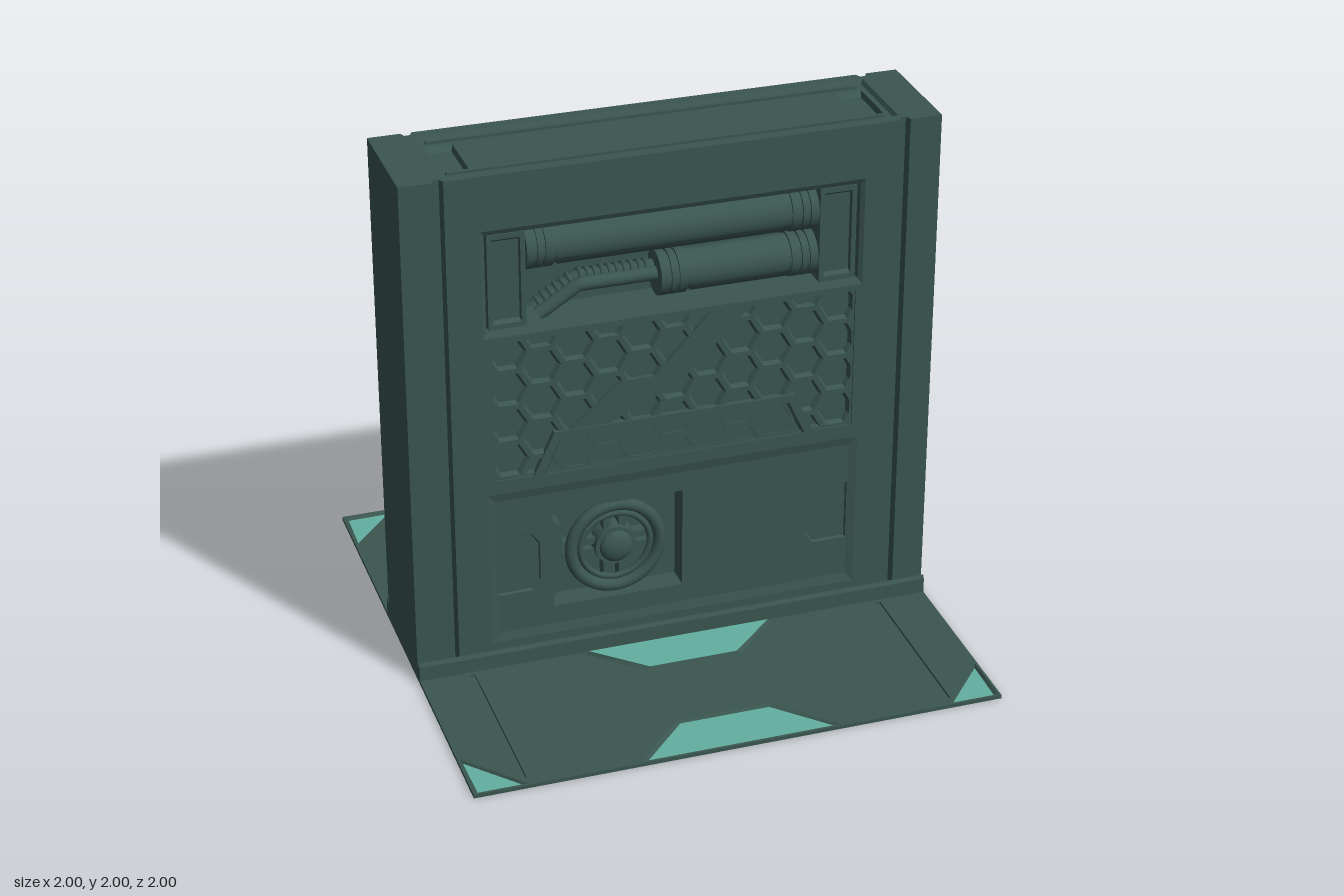
import * as THREE from 'three';

const wallMat = new THREE.MeshStandardMaterial({ color: 0x3a554f, side: THREE.DoubleSide });
wallMat.name = 'dark green metal';
const glowMat = new THREE.MeshStandardMaterial({ color: 0x62b0a0, side: THREE.DoubleSide });
glowMat.name = 'pale teal';

function add(parent, name, geo, mat = wallMat, x = 0, y = 0, z = 0) {
  const m = new THREE.Mesh(geo, mat);
  m.name = name;
  m.position.set(x, y, z);
  parent.add(m);
  return m;
}
const box = (p, name, x0, x1, y0, y1, z0, z1) =>
  add(p, name, new THREE.BoxGeometry(x1 - x0, y1 - y0, z1 - z0), wallMat, (x0 + x1) / 2, (y0 + y1) / 2, (z0 + z1) / 2);
const rect = (x0, x1, y0, y1) => [[x0, y0], [x1, y0], [x1, y1], [x0, y1]];
const at = (pts, z) => pts.map(([x, y]) => [x, y, z]);
const mirrorX = (pts) => pts.map(([x, y]) => [-x, y]).reverse();

// move every corner toward the middle of the outline by a fixed amount
function shrink(pts, d) {
  const n = pts.length, cx = pts.reduce((s, p) => s + p[0], 0) / n, cy = pts.reduce((s, p) => s + p[1], 0) / n;
  return pts.map(([x, y]) => {
    const l = Math.hypot(x - cx, y - cy) || 1;
    return [x + (cx - x) * d / l, y + (cy - y) * d / l];
  });
}
// flat sheet with holes
function sheet(pts, z, holes = []) {
  const vec = (l) => l.map(([x, y]) => new THREE.Vector2(x, y));
  const s = new THREE.Shape(vec(pts));
  holes.forEach((h) => s.holes.push(new THREE.Path(vec(h))));
  return new THREE.ShapeGeometry(s).translate(0, 0, z);
}
// strip of quads between two loops of 3D points
function band(a, b, closed = true) {
  const pos = [], n = a.length;
  for (let i = 0; i < (closed ? n : n - 1); i++) {
    const j = (i + 1) % n;
    pos.push(...a[i], ...a[j], ...b[j], ...a[i], ...b[j], ...b[i]);
  }
  const g = new THREE.BufferGeometry();
  g.setAttribute('position', new THREE.Float32BufferAttribute(pos, 3));
  g.computeVertexNormals();
  return g;
}
// recess or raised plate: sloped edge from outer loop to inner loop, then a face
function pan(parent, name, outer, inner, z0, z1, mat = wallMat, holes = []) {
  add(parent, name + 'Edge', band(at(outer, z0), at(inner, z1)));
  add(parent, name + 'Face', sheet(inner, z1, holes), mat);
}
// keep the part of a polygon inside a rectangle
function clip(pts, x0, x1, y0, y1) {
  for (const [k, s, lim] of [[0, 1, x0], [0, -1, x1], [1, 1, y0], [1, -1, y1]]) {
    const out = [];
    pts.forEach((p, i) => {
      const q = pts[(i + 1) % pts.length], dp = s * (p[k] - lim), dq = s * (q[k] - lim);
      if (dp >= 0) out.push(p);
      if (dp * dq < 0) out.push([0, 1].map((c) => p[c] + (q[c] - p[c]) * dp / (dp - dq)));
    });
    pts = out;
  }
  return pts;
}

// cylinder lying along x
function rod(parent, name, x0, x1, y, z, r) {
  const g = new THREE.CylinderGeometry(r, r, x1 - x0, 28).rotateZ(Math.PI / 2);
  return add(parent, name, g, wallMat, (x0 + x1) / 2, y, z);
}
function canister(parent, x0, x1, y) {
  const z = 0.128;
  rod(parent, 'canisterBody', x0, x1, y, z, 0.076);
  for (const [a, b] of [[x0, x0 + 0.03], [x0 + 0.04, x0 + 0.06], [x0 + 0.07, x0 + 0.1], [x1 - 0.1, x1 - 0.07], [x1 - 0.06, x1 - 0.04], [x1 - 0.03, x1]])
    rod(parent, 'canisterRing', a, b, y, z, 0.085);
  // curved cover plates
  for (const t of [-0.95, 0, 0.95]) {
    const g = new THREE.CylinderGeometry(0.081, 0.081, x1 - x0 - 0.23, 10, 1, true, t - 0.43, 0.86).rotateZ(Math.PI / 2);
    add(parent, 'canisterCover', g, wallMat, (x0 + x1) / 2, y, z);
  }
}

function pipeBay(p) {
  const mid = rect(-0.7, 0.7, 1.39, 1.77);
  add(p, 'pipeBayBevel', band(at(rect(-0.715, 0.715, 1.37, 1.79), 0.22), at(mid, 0.21)));
  pan(p, 'pipeBay', mid, mid, 0.21, 0.05);
  for (const x of [-0.62, 0.62]) {
    const o = rect(x - 0.07, x + 0.07, 1.395, 1.765), i = rect(x - 0.052, x + 0.052, 1.415, 1.745);
    add(p, 'bracketSides', band(at(o, 0.05), at(o, 0.205)));
    add(p, 'bracketRim', sheet(o, 0.205, [i]));
    pan(p, 'bracketInset', i, shrink(i, 0.012), 0.205, 0.19);
  }
  canister(p, -0.545, 0.545, 1.672);
  canister(p, -0.05, 0.545, 1.492);
  // ribbed hose behind a smooth pipe
  const path = new THREE.CurvePath(), P = [[-0.05, 1.495], [-0.34, 1.495], [-0.49, 1.4]];
  for (let i = 0; i < 2; i++) path.add(new THREE.LineCurve3(new THREE.Vector3(...P[i], 0.1), new THREE.Vector3(...P[i + 1], 0.1)));
  for (let i = 1; i < 17; i++) {
    const ring = add(p, 'hoseRib', new THREE.TorusGeometry(0.036, 0.01, 6, 16));
    ring.position.copy(path.getPointAt(i / 17));
    ring.lookAt(ring.position.clone().add(path.getTangentAt(i / 17)));
  }
  add(p, 'hose', new THREE.TubeGeometry(path, 24, 0.036, 12));
  add(p, 'smoothPipe', new THREE.TubeGeometry(path, 24, 0.026, 12), wallMat, 0, 0, 0.04);
}

function hexGrille(p) {
  const frame = rect(-0.69, 0.69, 0.79, 1.35), holes = [], R = 0.0835;
  for (let k = -6; k <= 6; k++) for (let j = -3; j <= 3; j++) {
    const cx = k * 1.5 * R, cy = 1.08 + (j + (k & 1 ? 0.5 : 0)) * R * Math.sqrt(3);
    const hex = [0, 1, 2, 3, 4, 5].map((i) => [cx + 0.072 * Math.cos(i * Math.PI / 3), cy + 0.072 * Math.sin(i * Math.PI / 3)]);
    const c = clip(hex, -0.682, 0.682, 0.798, 1.342);
    const size = (a) => Math.max(...c.map((v) => v[a])) - Math.min(...c.map((v) => v[a]));
    if (c.length > 2 && size(0) > 0.03 && size(1) > 0.03) holes.push(c);
  }
  add(p, 'grilleRim', band(at(frame, 0.22), at(frame, 0.214)));
  add(p, 'grille', sheet(frame, 0.214, holes));
  holes.forEach((h) => pan(p, 'hexCell', h, shrink(h, 0.01), 0.214, 0.194));
  // smooth diagonal strap across the cells
  const strap = [[0.14, 1.35], [-0.08, 1.12], [-0.2, 1.12], [-0.42, 0.94], [-0.28, 0.94], [-0.12, 1.02], [0, 1.06], [0.29, 1.35]];
  pan(p, 'strap', strap, strap, 0.2, 0.2165);
  // sloped trapezoid cover
  const o = [[-0.55, 0.765], [0.55, 0.765], [0.46, 0.955], [-0.46, 0.955]];
  const i = [[-0.505, 0.785], [0.505, 0.785], [0.44, 0.925], [-0.44, 0.925]];
  add(p, 'coverSides', band(at(o, 0.2), at(o, 0.222)));
  add(p, 'coverRim', sheet(o, 0.222, [i]));
  pan(p, 'coverInset', i, shrink(i, 0.012), 0.222, 0.212);
}

function valvePanel(p) {
  const well = [[-0.47, 0.215], [0.03, 0.215], [0.03, 0.62], [-0.47, 0.62], [-0.47, 0.58], [-0.435, 0.55], [-0.435, 0.3], [-0.47, 0.26]];
  const tab = [[0.55, 0.3], [0.682, 0.3], [0.682, 0.54], [0.55, 0.54], [0.52, 0.5], [0.52, 0.34]];
  const tabs = [tab, mirrorX(tab)];
  pan(p, 'valvePanel', rect(-0.715, 0.715, 0.105, 0.735), rect(-0.685, 0.685, 0.14, 0.7), 0.22, 0.212, wallMat, [well, ...tabs]);
  tabs.forEach((t) => pan(p, 'sideTab', t, shrink(t, 0.006), 0.212, 0.204));
  pan(p, 'valveWell', well, well, 0.212, 0.12);
  const wheel = new THREE.Group();
  wheel.name = 'valveWheel';
  wheel.position.set(-0.22, 0.415, 0.175);
  p.add(wheel);
  add(wheel, 'wheelRim', new THREE.TorusGeometry(0.172, 0.024, 10, 40));
  add(wheel, 'wheelInnerRim', new THREE.TorusGeometry(0.135, 0.012, 8, 40));
  for (const s of [-1, 1]) {
    box(wheel, 'verticalSpoke', s * 0.03 - 0.014, s * 0.03 + 0.014, -0.2, 0.2, -0.055, -0.005);
    box(wheel, 'horizontalSpoke', -0.2, 0.2, s * 0.022 - 0.012, s * 0.022 + 0.012, -0.055, -0.01);
  }
  add(wheel, 'hub', new THREE.CylinderGeometry(0.078, 0.085, 0.06, 28).rotateX(Math.PI / 2), wallMat, 0, 0, -0.02);
  add(wheel, 'hubDome', new THREE.SphereGeometry(0.064, 24, 12).scale(1, 1, 0.5), wallMat, 0, 0, 0.012);
}

// one broad side of the wall
function wallSide() {
  const p = new THREE.Group();
  p.name = 'wallSide';
  const holes = [rect(-0.715, 0.715, 1.37, 1.79), rect(-0.69, 0.69, 0.79, 1.35), rect(-0.715, 0.715, 0.105, 0.735)];
  add(p, 'wallFace', sheet(rect(-0.84, 0.84, 0, 2), 0.22, holes));
  const g = [[0.84, 0.22], [0.85, 0.198], [0.87, 0.198], [0.88, 0.22], [1, 0.22]];
  for (const line of [g, mirrorX(g)])
    add(p, 'grooveAndColumn', band(line.map(([x, z]) => [x, 0, z]), line.map(([x, z]) => [x, 2, z]), false));
  pipeBay(p);
  hexGrille(p);
  valvePanel(p);
  // skirting along the foot
  const prof = [[0.22, 0], [0.25, 0], [0.25, 0.072], [0.243, 0.084], [0.236, 0.084], [0.233, 0.066], [0.22, 0.066]];
  const ends = [-1, 1].map((x) => prof.map(([z, y]) => [x, y, z]));
  add(p, 'skirting', band(ends[0], ends[1]));
  for (const x of [-1, 1]) add(p, 'skirtingEnd', sheet(prof.map(([z, y]) => [-z, y]), 0).rotateY(Math.PI / 2), wallMat, x);
  return p;
}

// top of the wall, drawn flat and laid down
function wallTop() {
  const p = new THREE.Group();
  p.name = 'wallTop';
  p.rotation.x = -Math.PI / 2;
  const q = [[1, 0.22], [0.88, 0.22], [0.87, 0.198], [0.85, 0.198], [0.84, 0.22]];
  const upper = [...q, ...mirrorX(q)];
  const lower = upper.map(([x, y]) => [-x, -y]);
  const hole = rect(-0.85, 0.85, -0.175, 0.175);
  const ends = [rect(0.72, 0.82, -0.12, 0.11), rect(-0.82, -0.72, -0.12, 0.11)];
  add(p, 'topFace', sheet([...upper, ...lower], 2, [hole]));
  pan(p, 'topPanel', hole, rect(-0.84, 0.84, -0.165, 0.165), 2, 1.985, wallMat, ends);
  ends.forEach((e) => pan(p, 'endSocket', e, shrink(e, 0.02), 1.985, 1.965));
  for (const s of [-1, 1]) box(p, 'topRail', -0.81, 0.81, s * 0.138 - 0.008, s * 0.138 + 0.008, 1.98, 1.995);
  return p;
}

// half of the floor, drawn flat and laid down
function floorHalf() {
  const p = new THREE.Group(), h = 0.014;
  p.name = 'floorHalf';
  const flat = new THREE.Group();
  flat.name = 'floorPlate';
  flat.rotation.x = -Math.PI / 2;
  p.add(flat);
  const edge = rect(-1, 1, 0.24, 1);
  const outer = [[-0.375, 0.99], [-0.185, 0.785], [0.185, 0.785], [0.375, 0.99]];
  const corner = [[0.99, 0.775], [0.99, 0.99], [0.8, 0.99]];
  const inner = [[-0.37, 0.265], [0.37, 0.265], [0.185, 0.445], [-0.185, 0.445]];
  const slot = rect(0.795, 0.815, 0.265, 0.955);
  const teal = [outer, corner, mirrorX(corner)], slots = [slot, mirrorX(slot)];
  add(flat, 'floorSheet', sheet(edge, h, [...teal, ...slots, inner]));
  add(flat, 'floorRim', band(at(edge, 0), at(edge, h)));
  teal.forEach((t) => pan(flat, 'lightPanel', t, shrink(t, 0.016), h, 0.004, glowMat));
  slots.forEach((s) => pan(flat, 'floorSlot', s, s, h, 0.004));
  pan(flat, 'raisedLight', inner, shrink(inner, 0.016), h, 0.028, glowMat);
  return p;
}

export function createModel() {
  const model = new THREE.Group();
  model.name = 'wallPanel';
  const front = wallSide(), back = wallSide();
  back.scale.z = -1;
  model.add(front, back, wallTop());
  // narrow ends; the foot stays open
  for (const s of [-1, 1])
    add(model, 'wallEnd', new THREE.PlaneGeometry(0.44, 2).rotateY(s * Math.PI / 2), wallMat, s, 1, 0);
  const floorBack = floorHalf(), floorFront = floorHalf();
  floorFront.rotation.y = Math.PI;
  model.add(floorBack, floorFront);
  return model;
}
